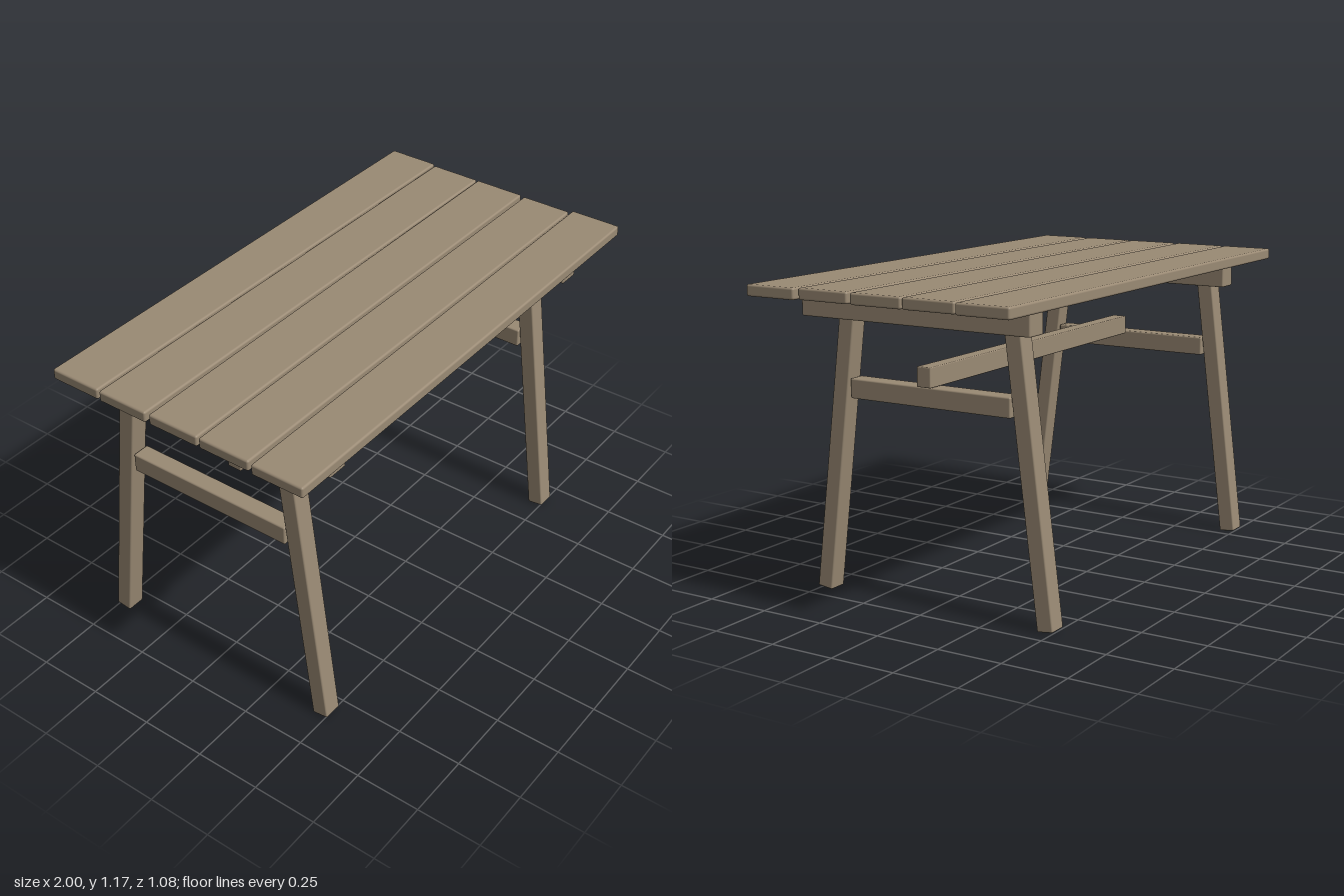
import * as THREE from 'three';
import { RoundedBoxGeometry } from 'three/addons/geometries/RoundedBoxGeometry.js';

export function createModel() {
  const table = new THREE.Group();
  table.name = 'plankTable';
  const wood = new THREE.MeshStandardMaterial({ color: 0x9a8a74 });

  // A softly bevelled timber with the given size and centre
  function timber(name, w, h, d, x, y, z, bevel = 0.006) {
    const mesh = new THREE.Mesh(new RoundedBoxGeometry(w, h, d, 2, bevel), wood);
    mesh.name = name;
    mesh.position.set(x, y, z);
    table.add(mesh);
    return mesh;
  }

  // Table top: five planks, each laid very slightly out of true
  // [centre z, start x, end x, yaw]
  const planks = [
    [-0.434, -0.995, 0.997, -0.003],
    [-0.219, -0.997, 0.985, -0.003],
    [-0.003, -0.995, 0.985, 0.002],
    [0.215, -0.995, 0.98, -0.002],
    [0.432, -1, 0.997, 0.002],
  ];
  planks.forEach(([z, x0, x1, yaw], i) => {
    const plank = timber(`plank${i + 1}`, x1 - x0, 0.042, 0.206, (x0 + x1) / 2, 1.146, z, 0.008);
    plank.rotation.y = yaw;
  });

  // Trestles: splayed legs, a low brace between them and a beam beside them
  const trestles = [
    { side: 'right', legX: -0.822, beamX: -0.737 },
    { side: 'left', legX: 0.648, beamX: 0.732 },
  ];
  for (const { side, legX, beamX } of trestles) {
    for (const s of [1, -1]) {
      const leg = timber(`${side}${s > 0 ? 'Front' : 'Back'}Leg`, 0.073, 1.08, 0.064,
        legX, 0.54, s * 0.409 + 0.002);
      leg.rotation.x = -s * 0.125;
    }
    timber(`${side}Brace`, 0.068, 0.073, 0.675, legX, 0.771, 0.002);
    timber(`${side}Beam`, 0.085, 0.085, 0.947, beamX, 1.077, 0.002);
  }

  // Long stretcher resting above the braces
  timber('stretcher', 1.415, 0.073, 0.058, -0.003, 0.847, 0.003, 0.004);

  return table;
}
